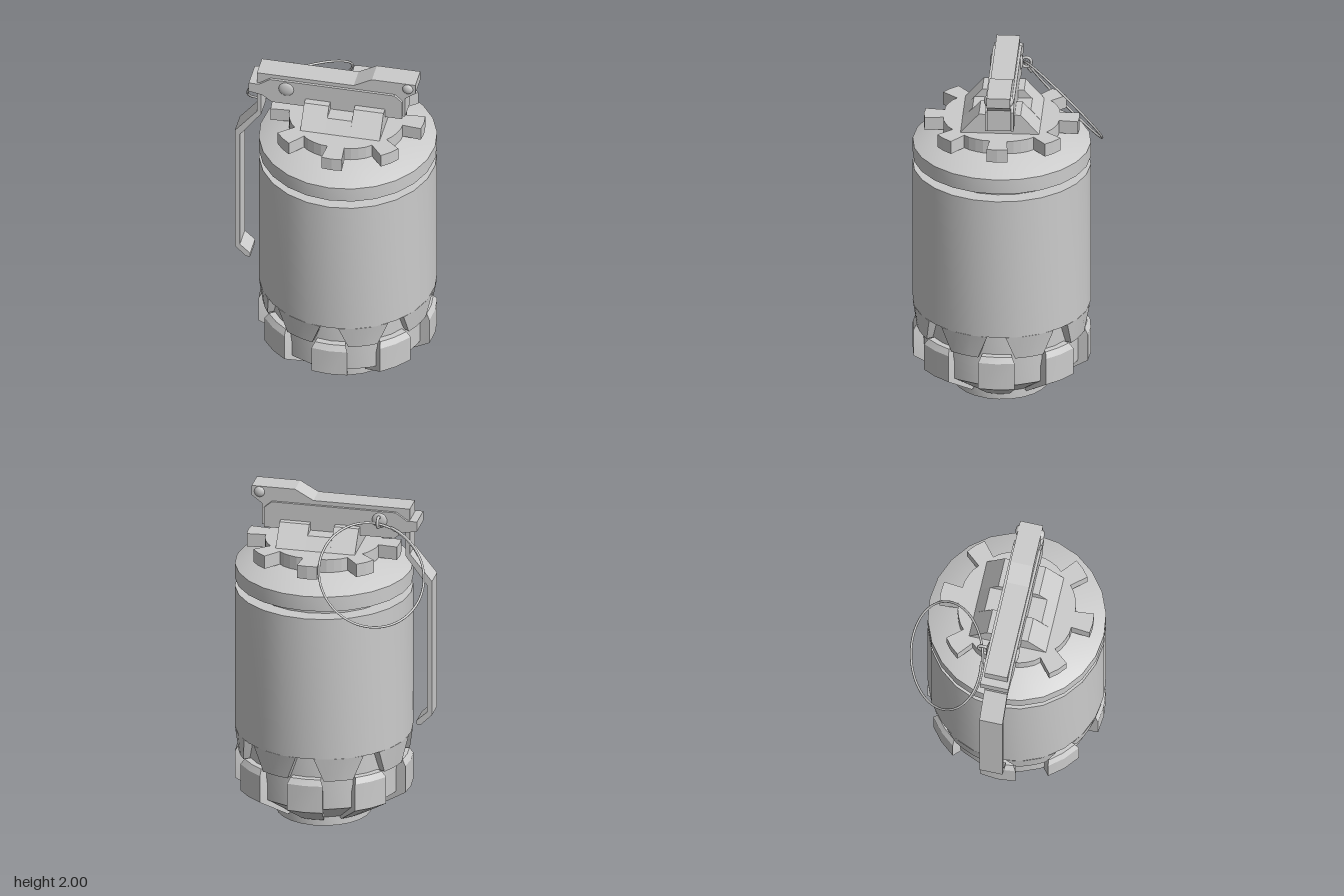
import * as THREE from 'three';
import { toCreasedNormals } from 'three/addons/utils/BufferGeometryUtils.js';

const CX = 0.066, CZ = 0.023; // axis of the round body
const DEG = Math.PI / 180;

export function createModel() {
  const root = new THREE.Group();
  root.name = 'canister';
  const mat = new THREE.MeshStandardMaterial({ color: 0xcccccc });

  const add = (name, geo, parent = root) => {
    const mesh = new THREE.Mesh(geo, mat);
    mesh.name = name;
    parent.add(mesh);
    return mesh;
  };
  const shapeOf = pts => new THREE.Shape(pts.map(p => new THREE.Vector2(p[0], p[1])));
  const extrude = (pts, depth) =>
    new THREE.ExtrudeGeometry(shapeOf(pts), { depth, bevelEnabled: false });
  // side outline in x,y given a thickness from z0 to z1
  const slab = (name, pts, z0, z1) => add(name, extrude(pts, z1 - z0).translate(0, 0, z0));

  // solid sector: profile corners [radius, height, half angle in degrees], counterclockwise
  const sector = (profile, steps) => {
    const pos = [];
    const at = (k, i) => {
      const [r, y, h] = profile[k % profile.length];
      const a = h * DEG * (2 * i / steps - 1);
      return [r * Math.sin(a), y, r * Math.cos(a)];
    };
    const tri = (a, b, c) => pos.push(...a, ...b, ...c);
    for (let k = 0; k < profile.length; k++) {
      for (let i = 0; i < steps; i++) {
        tri(at(k, i), at(k, i + 1), at(k + 1, i + 1));
        tri(at(k, i), at(k + 1, i + 1), at(k + 1, i));
      }
      tri(at(0, 0), at(k, 0), at(k + 1, 0));
      tri(at(0, steps), at(k + 1, steps), at(k, steps));
    }
    const geo = new THREE.BufferGeometry();
    geo.setAttribute('position', new THREE.Float32BufferAttribute(pos, 3));
    return toCreasedNormals(geo, 0.45);
  };

  // round body, all on one axis
  const body = new THREE.Group();
  body.name = 'body';
  body.position.set(CX, 0, CZ);
  root.add(body);

  const profile = [
    [0, 0], [0.275, 0], [0.275, 0.055], [0.455, 0.18], [0.455, 0.515], [0.512, 0.515],
    [0.512, 1.39], [0.422, 1.39], [0.422, 1.44], [0.512, 1.44], [0.512, 1.53],
    [0.335, 1.61], [0, 1.61],
  ].map(p => new THREE.Vector2(...p));
  add('shell', toCreasedNormals(new THREE.LatheGeometry(profile, 24).toNonIndexed(), 0.45), body);

  // interlocking lower edge: teeth pointing down, blocks pointing up
  const tooth = sector([
    [0.44, 0.37, 10], [0.492, 0.37, 10], [0.512, 0.515, 16.5], [0.44, 0.515, 16.5],
  ], 3);
  const block = sector([
    [0.25, 0.045, 12.5], [0.295, 0.045, 12.5], [0.512, 0.18, 11.8], [0.512, 0.345, 11.8],
    [0.49, 0.378, 10.5], [0.44, 0.378, 10.5], [0.44, 0.2, 11.8],
  ], 2);
  for (let i = 0; i < 8; i++) {
    add('shellTooth', tooth, body).rotation.y = (i + 0.5) * 45 * DEG;
    add('baseBlock', block, body).rotation.y = i * 45 * DEG;
  }

  // notched collar on top
  const gear = [];
  for (let i = 0; i < 8; i++) {
    const corners = [[0.335, -8.5], [0.445, -7.7], [0.447, 0], [0.445, 7.7], [0.335, 8.5],
      [0.34, 15], [0.34, 22.5], [0.34, 30]];
    for (const [r, d] of corners) {
      const a = (i * 45 + d) * DEG;
      gear.push([r * Math.cos(a), r * Math.sin(a)]);
    }
  }
  add('collar', extrude(gear, 0.08).rotateX(-Math.PI / 2).translate(0, 1.61, 0), body);

  // sloped housing with a lower middle
  const housing = (x0, x1, top, half) => add('housing',
    extrude([[-0.235, 1.68], [0.235, 1.68], [half, top], [-half, top]], x1 - x0)
      .rotateY(Math.PI / 2).translate(x0, 0, 0.02));
  housing(-0.166, -0.02, 1.81, 0.12);
  housing(-0.02, 0.125, 1.76, 0.168);
  housing(0.125, 0.3, 1.81, 0.12);

  // lever head and its two cheek plates
  slab('leverHead', [
    [-0.455, 1.80], [-0.3, 1.78], [0.415, 1.765], [0.415, 1.895], [0.475, 1.94],
    [0.475, 2], [0.22, 2], [0.113, 1.94], [-0.455, 1.94],
  ], -0.05, 0.085);
  const cheek = [
    [-0.5, 1.81], [-0.42, 1.795], [-0.365, 1.755], [0.4, 1.755], [0.4, 1.875],
    [0.355, 1.915], [-0.375, 1.915], [-0.44, 1.87], [-0.5, 1.87],
  ];
  slab('cheekPlate', cheek, -0.065, -0.05);
  slab('cheekPlate', cheek, 0.085, 0.1);
  slab('cheekBridge', [[-0.5, 1.81], [-0.44, 1.8], [-0.44, 1.87], [-0.5, 1.87]], -0.05, 0.085);

  // long bent handle
  slab('handle', [
    [-0.455, 1.94], [-0.455, 1.66], [-0.585, 1.5], [-0.585, 0.665], [-0.52, 0.6],
    [-0.495, 0.6], [-0.495, 0.625], [-0.555, 0.68], [-0.555, 1.475], [-0.43, 1.645], [-0.43, 1.94],
  ], -0.05, 0.085);

  // rivets on both sides
  for (const side of [-1, 1]) {
    const mid = 0.0175;
    const rivet = add('rivet', new THREE.SphereGeometry(0.046, 16, 10));
    rivet.scale.z = 0.35;
    rivet.position.set(-0.28, 1.86, mid + side * 0.08);
    const pin = add('pivotPin', new THREE.SphereGeometry(0.032, 12, 8));
    pin.scale.z = 0.6;
    pin.position.set(0.43, 1.965, mid + side * 0.066);
  }

  // small eye and the pull ring through it
  const eye = add('pinEye', new THREE.TorusGeometry(0.03, 0.009, 8, 20));
  eye.rotation.y = Math.PI / 2;
  eye.position.set(-0.28, 1.86, -0.095);

  const normal = new THREE.Vector3(-0.417, 0.603, -0.68).normalize();
  const u = new THREE.Vector3(-0.233, 0.059, 0.195);
  u.addScaledVector(normal, -u.dot(normal)).normalize();
  const v = new THREE.Vector3().crossVectors(normal, u);
  const coil = [];
  for (let i = 0; i <= 72; i++) {
    const t = i / 72, a = t * 1.12 * 2 * Math.PI;
    coil.push(new THREE.Vector3(-0.287, 1.622, -0.31)
      .addScaledVector(u, 0.311 * Math.cos(a))
      .addScaledVector(v, 0.311 * Math.sin(a))
      .addScaledVector(normal, 0.014 * (t - 0.5)));
  }
  add('pullRing', new THREE.TubeGeometry(new THREE.CatmullRomCurve3(coil), 120, 0.007, 8));

  return root;
}
